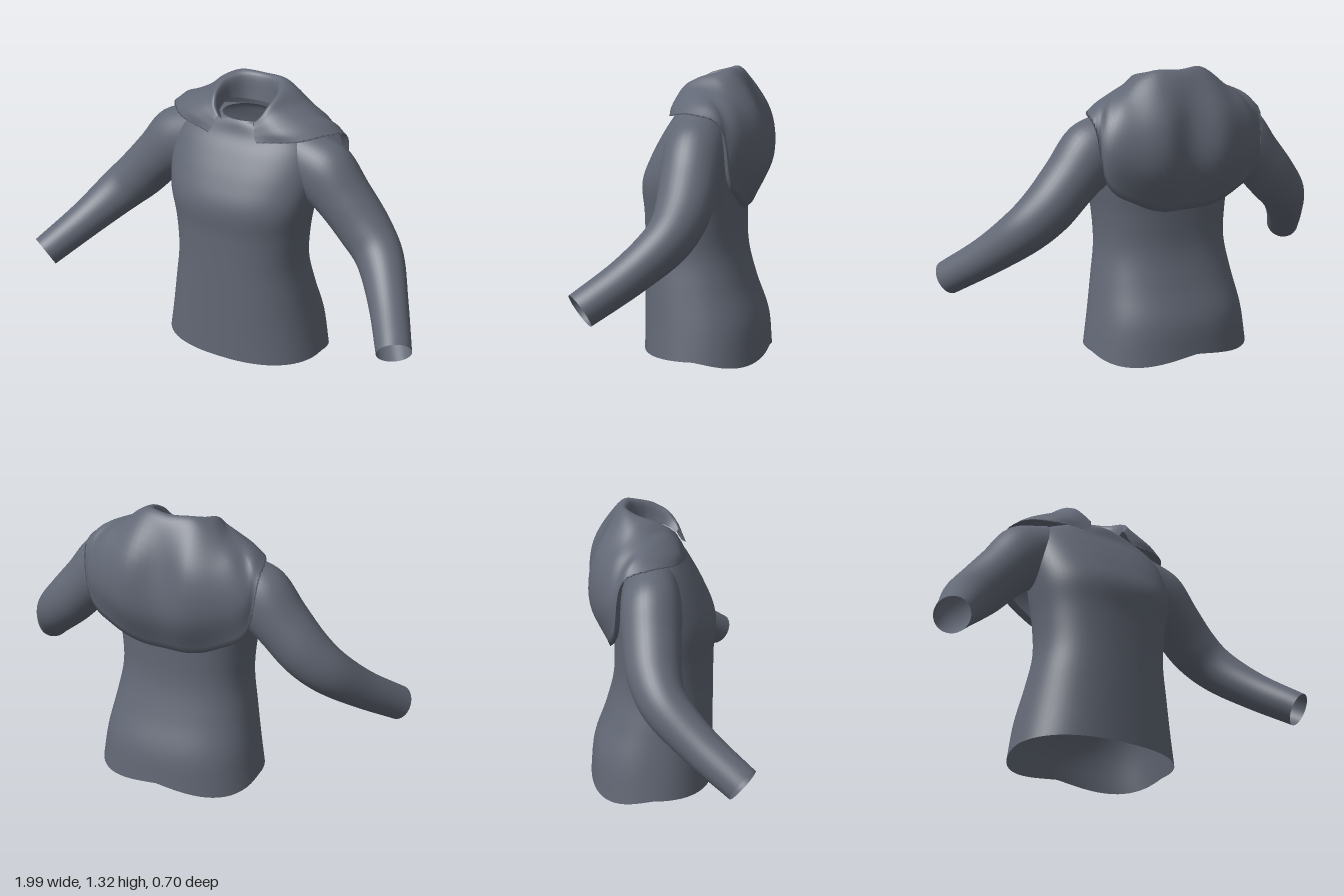
import * as THREE from 'three';

const V = (x, y, z) => new THREE.Vector3(x, y, z);

// Smoothly resample a list of point rows to n + 1 rows
function refine(rows, n) {
  const curves = rows[0].map((_, j) => new THREE.CatmullRomCurve3(rows.map(r => r[j]), false, 'centripetal'));
  const uniform = curves.map(c => { c.curveType = 'catmullrom'; c.tension = 0.5; return c; });
  return Array.from({ length: n + 1 }, (_, i) => uniform.map(c => c.getPoint(i / n)));
}

// Skin rows of points; closed rows wrap around
function loft(rows, closed) {
  const w = rows[0].length, index = [];
  for (let i = 0; i < rows.length - 1; i++) {
    for (let j = 0; j < (closed ? w : w - 1); j++) {
      const k = (j + 1) % w, a = i * w + j, b = (i + 1) * w + j, c = (i + 1) * w + k, d = i * w + k;
      index.push(a, b, d, b, c, d);
    }
  }
  const geo = new THREE.BufferGeometry().setFromPoints(rows.flat());
  geo.setIndex(index);
  geo.computeVertexNormals();
  return geo;
}

// Body sections: height, half width, front z, back z
function torsoRows() {
  const sections = [
    [0.035, 0.39, 0.22, -0.35], [0.18, 0.365, 0.22, -0.335], [0.34, 0.335, 0.22, -0.28],
    [0.5, 0.31, 0.22, -0.24], [0.66, 0.32, 0.222, -0.235], [0.8, 0.345, 0.23, -0.24],
    [0.92, 0.36, 0.185, -0.235], [1.03, 0.355, 0.125, -0.22], [1.1, 0.32, 0.08, -0.2],
    [1.15, 0.23, 0.062, -0.18], [1.17, 0.12, 0.052, -0.15],
  ];
  const rows = sections.map(([y, w, f, b], i) => Array.from({ length: 64 }, (_, j) => {
    const a = j / 64 * Math.PI * 2, c = Math.cos(a), s = Math.sin(a);
    const p = i > 8 ? 1 : 0.85;
    const x = Math.sign(c) * Math.abs(c) ** p, z = Math.sign(s) * Math.abs(s) ** p;
    // the hem dips at the back corners
    const dip = i === 0 ? 0.07 * Math.max(0, -s) * Math.abs(c) : 0;
    return V(x * w, y - dip, (f + b) / 2 + z * (f - b) / 2);
  }));
  return refine(rows, 50);
}

// Sleeve sections: centre, radius front to back, radius top to bottom
function sleeveRows(side) {
  const path = [
    [0.24, 1.02, -0.07, 0.12, 0.13], [0.38, 0.955, -0.07, 0.133, 0.15], [0.49, 0.845, -0.068, 0.128, 0.128],
    [0.6, 0.725, -0.058, 0.118, 0.12], [0.7, 0.625, -0.01, 0.103, 0.108],
    [0.81, 0.5, 0.125, 0.088, 0.088], [0.925, 0.375, 0.297, 0.08, 0.076],
  ];
  const curve = new THREE.CatmullRomCurve3(path.map(p => V(p[0], p[1], p[2])));
  curve.curveType = 'catmullrom';
  const rows = path.map(([x, y, z, ru, rv], i) => {
    const t = curve.getTangent(i / (path.length - 1));
    const u = V(0, 0, 1).addScaledVector(t, -t.z).normalize();
    const v = u.clone().cross(t);
    const ring = Array.from({ length: 36 }, (_, j) => {
      const a = j / 36 * Math.PI * 2;
      const p = V(x, y, z).addScaledVector(u, ru * Math.cos(a)).addScaledVector(v, rv * Math.sin(a));
      p.x *= side;
      return p;
    });
    return side < 0 ? ring.reverse() : ring;
  });
  return refine(rows, 36);
}

// Folded hood: columns from the back centre to the front corner,
// each running from the inner neck over the rim to the lower edge
function hoodRows() {
  const half = [
    [[0, 1.19, -0.15], [0, 1.305, -0.175], [0, 1.28, -0.23], [0, 1.11, -0.295], [0, 0.89, -0.325], [0, 0.69, -0.25]],
    [[0.07, 1.19, -0.14], [0.085, 1.305, -0.155], [0.12, 1.29, -0.21], [0.14, 1.11, -0.325], [0.15, 0.9, -0.34], [0.13, 0.695, -0.25]],
    [[0.11, 1.2, -0.1], [0.13, 1.295, -0.105], [0.2, 1.265, -0.17], [0.26, 1.12, -0.275], [0.29, 0.94, -0.3], [0.26, 0.745, -0.25]],
    [[0.12, 1.2, -0.06], [0.145, 1.285, -0.06], [0.22, 1.25, -0.12], [0.32, 1.16, -0.21], [0.39, 1.01, -0.245], [0.39, 0.84, -0.23]],
    [[0.12, 1.19, -0.02], [0.145, 1.27, -0.025], [0.21, 1.24, -0.06], [0.3, 1.205, -0.11], [0.38, 1.155, -0.165], [0.43, 1.08, -0.2]],
    [[0.115, 1.18, 0.01], [0.135, 1.245, 0.015], [0.18, 1.23, 0.005], [0.26, 1.205, -0.02], [0.34, 1.175, -0.045], [0.405, 1.135, -0.065]],
    [[0.1, 1.17, 0.03], [0.12, 1.21, 0.045], [0.15, 1.2, 0.05], [0.2, 1.175, 0.055], [0.25, 1.15, 0.055], [0.3, 1.12, 0.045]],
    [[0.08, 1.155, 0.05], [0.09, 1.175, 0.063], [0.1, 1.16, 0.075], [0.105, 1.14, 0.083], [0.11, 1.122, 0.09], [0.125, 1.1, 0.097]],
  ];
  const column = (c, s) => c.map(p => V(p[0] * s, p[1], p[2]));
  const columns = [...half.slice(1).reverse().map(c => column(c, -1)), ...half.map(c => column(c, 1))];
  const fine = refine(columns, 70);
  const transposed = fine[0].map((_, j) => fine.map(c => c[j]));
  const rows = refine(transposed, 30);
  // thin turned-under lip along the lower edge
  rows.push(rows[30].map(p => V(p.x * 0.93, p.y + 0.012, -0.06 + (p.z + 0.06) * 0.88)));
  return rows[0].map((_, i) => rows.map(r => r[i]));
}

export function createModel() {
  const fabric = new THREE.MeshStandardMaterial({ color: 0x626875, side: THREE.DoubleSide });
  fabric.name = 'slateFabric';
  const model = new THREE.Group();
  model.name = 'hoodedTop';
  const add = (name, geo) => {
    const mesh = new THREE.Mesh(geo, fabric);
    mesh.name = name;
    model.add(mesh);
  };
  add('body', loft(torsoRows(), true));
  add('leftSleeve', loft(sleeveRows(1), true));
  add('rightSleeve', loft(sleeveRows(-1), true));
  add('hood', loft(hoodRows(), false));
  return model;
}
